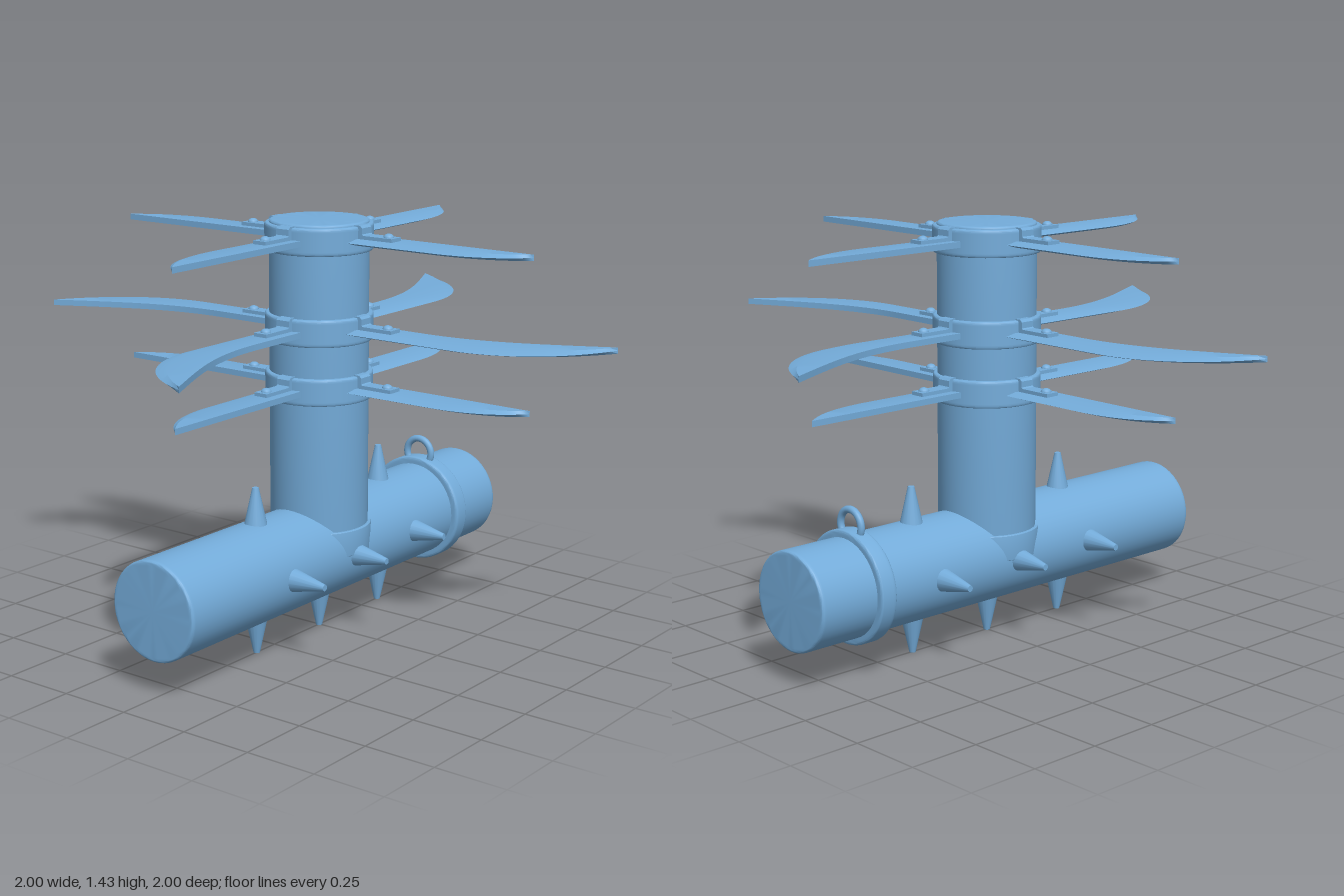
import * as THREE from 'three';
import { toCreasedNormals } from 'three/addons/utils/BufferGeometryUtils.js';

const material = new THREE.MeshStandardMaterial({ color: 0x74acda });
const AXIS_Y = 0.293; // centre line of the lying pipe
const PIPE_R = 0.168;

function part(name, geometry, parent) {
  const mesh = new THREE.Mesh(geometry, material);
  mesh.name = name;
  parent.add(mesh);
  return mesh;
}

// Solid drum along y with softly rounded rims
function drum(radius, y0, y1, round = 0.008) {
  const profile = [new THREE.Vector2(0, y0), new THREE.Vector2(radius - 2 * round, y0)];
  for (const [y, start] of [[y0 + round, -Math.PI / 2], [y1 - round, 0]]) {
    for (let i = 0; i <= 3; i++) {
      const a = start + (i * Math.PI) / 6;
      profile.push(new THREE.Vector2(radius - round + round * Math.cos(a), y + round * Math.sin(a)));
    }
    // support ring that keeps the wall shading straight
    if (start < 0) {
      profile.push(new THREE.Vector2(radius, y0 + 2 * round), new THREE.Vector2(radius, y1 - 2 * round));
    }
  }
  profile.push(new THREE.Vector2(radius - 2 * round, y1), new THREE.Vector2(0, y1));
  return toCreasedNormals(new THREE.LatheGeometry(profile, 48), 0.7);
}

// Flat blade along +x, thick at the back (-z) and sharpened at the edge (+z)
function bladeGeometry(backPoints, edgePoints) {
  const curve = (pts) => new THREE.CubicBezierCurve(...pts.map(([x, z]) => new THREE.Vector2(x, z)));
  const back = curve(backPoints);
  const edge = curve(edgePoints);
  const steps = 24;
  const half = 0.01;
  const positions = [];
  const indices = [];
  for (let i = -1; i <= steps; i++) {
    const t = Math.max(i, 0) / steps;
    const b = back.getPoint(t);
    const e = edge.getPoint(t);
    if (i < 0) b.x = e.x = 0.15; // root, inside the collar
    const m = b.clone().lerp(e, 0.75);
    positions.push(
      b.x, -half, b.y, b.x, half, b.y, m.x, half, m.y, e.x, 0, e.y, m.x, -half, m.y,
    );
  }
  for (let i = 0; i <= steps; i++) {
    for (let j = 0; j < 5; j++) {
      const a = i * 5 + j;
      const b = i * 5 + (j + 1) % 5;
      indices.push(a, b, b + 5, a, b + 5, a + 5);
    }
  }
  const geometry = new THREE.BufferGeometry();
  geometry.setAttribute('position', new THREE.Float32BufferAttribute(positions, 3));
  geometry.setIndex(indices);
  return toCreasedNormals(geometry, 0.4);
}

// L-shaped bracket, extruded across the blade
function bracketGeometry() {
  const shape = new THREE.Shape([
    [0.16, 0.008], [0.315, 0.008], [0.315, 0.022], [0.2, 0.022],
    [0.196, 0.026], [0.196, 0.046], [0.188, 0.054], [0.16, 0.054],
  ].map(([x, y]) => new THREE.Vector2(x, y)));
  return new THREE.ExtrudeGeometry(shape, { depth: 0.052, bevelEnabled: false }).translate(0, 0, -0.026);
}

export function createModel() {
  const model = new THREE.Group();
  model.name = 'bladedPipe';

  // Lying pipe, upright pipe and the collar where they join
  const lying = new THREE.Group();
  lying.name = 'lyingPipe';
  lying.position.y = AXIS_Y;
  model.add(lying);
  part('pipeBody', drum(PIPE_R, -0.858, 0.858), lying).rotation.x = Math.PI / 2;
  part('uprightPipe', drum(PIPE_R, AXIS_Y, 1.435), model);
  part('jointCollar', drum(0.179, 0.3, 0.39, 0.003), model);

  // Clamp band with a hanging loop near the back
  part('clampBand', drum(0.193, -0.636, -0.572), lying).rotation.x = Math.PI / 2;
  part('hangingLoop', new THREE.TorusGeometry(0.052, 0.0125, 12, 32), lying)
    .position.set(0, 0.206, -0.604);

  // Spikes around the lying pipe; the upright takes the place of the middle top one
  const spike = new THREE.CylinderGeometry(0.011, 0.044, 0.15, 16).translate(0, 0.214, 0);
  for (const z of [-0.345, 0, 0.345]) {
    for (let k = 0; k < 4; k++) {
      if (z === 0 && k === 0) continue;
      const mesh = part('spike', spike, lying);
      mesh.position.z = z;
      mesh.rotation.z = k * Math.PI / 2;
    }
  }

  // Three tiers of four blades, the middle tier long and swept
  const shortBlade = bladeGeometry(
    [[0.5, -0.058], [0.6, -0.058], [0.7, -0.058], [0.8, -0.058]],
    [[0.5, 0.07], [0.64, 0.07], [0.74, 0.02], [0.8, -0.058]],
  );
  const longBlade = bladeGeometry(
    [[0.39, -0.058], [0.62, -0.058], [0.77, -0.14], [1, -0.255]],
    [[0.58, 0.072], [0.75, 0.072], [0.92, -0.03], [1, -0.255]],
  );
  const bracket = bracketGeometry();
  const collar = drum(0.183, -0.042, 0.05, 0.007);
  const bolt = new THREE.SphereGeometry(0.018, 16, 6, 0, Math.PI * 2, 0, Math.PI / 2)
    .scale(1, 0.75, 1).translate(0.285, 0.021, 0);
  const tiers = [[0.874, shortBlade], [1.073, longBlade], [1.376, shortBlade]];
  for (const [y, blade] of tiers) {
    const tier = new THREE.Group();
    tier.name = 'bladeTier';
    tier.position.y = y;
    model.add(tier);
    part('tierCollar', collar, tier);
    for (let k = 0; k < 4; k++) {
      const arm = new THREE.Group();
      arm.name = 'bladeArm';
      arm.rotation.y = k * Math.PI / 2;
      tier.add(arm);
      part('blade', blade, arm);
      part('bracket', bracket, arm);
      part('bolt', bolt, arm);
    }
  }
  return model;
}
